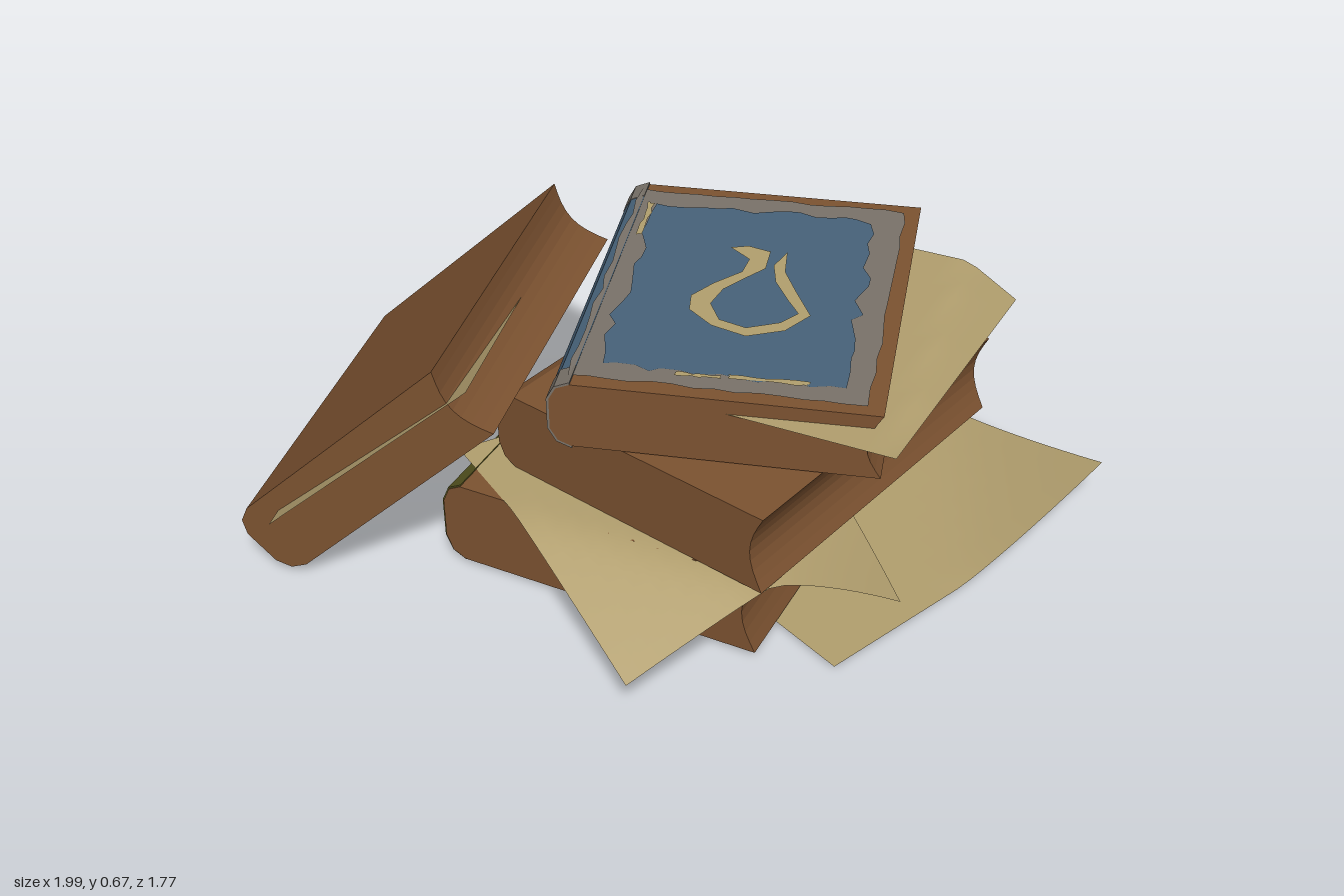
import * as THREE from 'three';

const mat = (name, color, side = THREE.FrontSide) => {
  const m = new THREE.MeshStandardMaterial({ color, side });
  m.name = name;
  return m;
};

export function createModel() {
  const root = new THREE.Group();
  root.name = 'bookPile';
  const brown = mat('brown leather', 0x7d5331);
  const tan = mat('old paper', 0xb3a06f, THREE.DoubleSide);
  const blue = mat('blue cover', 0x48637a);
  const grey = mat('worn grey', 0x7a736a);
  const green = mat('green cover', 0x54521f);
  const red = mat('spine red', 0x7a3a28);

  let seed = 7;
  const rand = () => (seed = (seed * 16807) % 2147483647) / 2147483647;

  function add(parent, name, geometry, material, x = 0, y = 0, z = 0) {
    const m = new THREE.Mesh(geometry, material);
    m.name = name;
    m.position.set(x, y, z);
    parent.add(m);
    return m;
  }

  const polygon = pts => new THREE.Shape(pts.map(p => new THREE.Vector2(p[0], p[1])));

  function prism(pts, length) {
    const g = new THREE.ExtrudeGeometry(polygon(pts), { depth: length, bevelEnabled: false });
    return g.translate(0, 0, -length / 2);
  }

  // Rounded spine section, from bottom to top
  const spinePoints = (w, h, c, out = 0) => [
    [c - w / 2, -out], [c * 0.35 - w / 2 - out * 0.7, h * 0.08 - out * 0.7],
    [-w / 2 - out, h * 0.26], [-w / 2 - out, h * 0.74],
    [c * 0.35 - w / 2 - out * 0.7, h * 0.92 + out * 0.7], [c - w / 2, h + out],
  ];

  // Book with spine at -x and a hollow fore edge at +x
  function book(name, w, h, l, c = 0.05, hollow = 0.035) {
    const g = new THREE.Group();
    g.name = name;
    const fore = [];
    for (let i = 0; i <= 8; i++) {
      const t = i / 8;
      fore.push([w / 2 - hollow * Math.sin(Math.PI * t), h * t]);
    }
    add(g, 'bookBody', prism([...spinePoints(w, h, c).reverse(), ...fore], l), brown);
    root.add(g);
    return g;
  }

  // Thin shell wrapped around a spine
  function spineShell(g, name, w, h, c, z0, z1, material, out) {
    const pts = [...spinePoints(w, h, c, out).reverse(), ...spinePoints(w, h, c, 0)];
    add(g, name, prism(pts, z1 - z0), material, 0, 0, (z0 + z1) / 2);
  }

  // Rectangle with worn, uneven edges
  function ragged(x0, x1, z0, z1, rough, n = 14) {
    const c = [[x0, z0], [x1, z0], [x1, z1], [x0, z1]];
    const pts = [];
    c.forEach((a, k) => {
      const b = c[(k + 1) % 4];
      for (let i = 0; i < n; i++) {
        const t = i / n;
        pts.push([a[0] + (b[0] - a[0]) * t + (rand() - 0.5) * rough,
          a[1] + (b[1] - a[1]) * t + (rand() - 0.5) * rough]);
      }
    });
    return new THREE.ShapeGeometry(polygon(pts));
  }
  const faceUp = g => g.rotateX(-Math.PI / 2);
  const faceDown = g => g.rotateX(Math.PI / 2);

  // Sheet spanned by four corners [x, y, z]; curls lift or drop corners
  function sheet(name, [a, b, c, d], curls = []) {
    const g = new THREE.PlaneGeometry(1, 1, 18, 18);
    const p = g.attributes.position;
    for (let i = 0; i < p.count; i++) {
      const u = p.getX(i) + 0.5, v = p.getY(i) + 0.5;
      const q = [0, 1, 2].map(k =>
        (a[k] * (1 - u) + b[k] * u) * (1 - v) + (d[k] * (1 - u) + c[k] * u) * v);
      for (const [cu, cv, lift, ru, rv, power] of curls) {
        const t = Math.abs(u - cu) / ru + Math.abs(v - cv) / rv;
        q[1] += lift * Math.max(0, 1 - t) ** power;
      }
      p.setXYZ(i, ...q);
    }
    g.computeVertexNormals();
    add(root, name, g, tan);
  }

  // Bottom book: green spine, papered underside with a green panel
  const bottom = book('bottomBook', 0.83, 0.222, 0.965);
  bottom.position.set(-0.01, 0.012, 0.06);
  bottom.rotation.y = -0.14;
  spineShell(bottom, 'greenSpine', 0.83, 0.222, 0.05, -0.48, 0.48, green, 0.004);
  [-0.08, 0, 0.08].forEach((z, i) =>
    add(bottom, 'spineMark', new THREE.BoxGeometry(0.004, 0.1, 0.035), i === 1 ? red : tan, -0.42, 0.11, z));
  add(bottom, 'undersideBorder', faceDown(ragged(-0.36, 0.41, -0.475, 0.475, 0.005)), tan, 0, -0.003, 0);
  const panel = new THREE.Group();
  panel.name = 'undersidePanel';
  panel.position.set(-0.02, 0, 0.09);
  panel.rotation.y = -0.24;
  root.add(panel);
  add(panel, 'greenPanel', faceDown(ragged(-0.25, 0.25, -0.3, 0.3, 0.02)), green, 0, 0.004, 0);
  const petals = [];
  for (let i = 0; i < 48; i++) {
    const t = (i / 48) * Math.PI * 2, r = 0.115 + 0.035 * Math.cos(6 * t) + 0.012 * Math.cos(t);
    petals.push([r * Math.cos(t), r * Math.sin(t)]);
  }
  add(panel, 'flowerEmblem', faceDown(new THREE.ShapeGeometry(polygon(petals))), tan, 0, 0.002, 0);

  // Middle book: plain brown with two pale spine bands
  const middle = book('middleBook', 0.8, 0.208, 0.92);
  middle.position.set(0.15, 0.237, 0.07);
  middle.rotation.y = -0.365;
  for (const z of [-0.2, 0.2])
    add(middle, 'spineBand', new THREE.BoxGeometry(0.004, 0.08, 0.02), tan, -0.4, 0.104, z);

  // Top book: blue covers with worn borders
  const top = book('topBook', 0.757, 0.17, 0.93);
  top.position.set(0.13, 0.448, 0.013);
  top.rotation.y = 0.137;
  spineShell(top, 'blueSpine', 0.757, 0.17, 0.05, -0.46, 0.46, blue, 0.004);
  for (const s of [-1, 1])
    spineShell(top, 'spineWear', 0.757, 0.17, 0.05, s * 0.43 - 0.035, s * 0.43 + 0.035, grey, 0.006);
  add(top, 'wornBorder', faceUp(ragged(-0.345, 0.34, -0.43, 0.43, 0.012)), grey, 0, 0.173, 0);
  add(top, 'bluePanel', faceUp(ragged(-0.285, 0.275, -0.375, 0.365, 0.03)), blue, 0, 0.175, 0);
  add(top, 'undersideWear', faceDown(ragged(-0.33, 0.34, -0.43, 0.43, 0.012)), grey, 0, -0.002, 0);
  add(top, 'undersideBlue', faceDown(ragged(-0.28, 0.28, -0.37, 0.37, 0.03)), blue, 0, -0.004, 0);
  for (const [x, z, len] of [[0.02, -0.385, 0.18], [-0.1, -0.395, 0.1]])
    add(top, 'paleScuff', faceUp(ragged(x, x + len, z, z + 0.014, 0.008, 6)), tan, 0, 0.177, 0);
  add(top, 'paleScuff', faceUp(ragged(-0.31, -0.295, 0.2, 0.36, 0.008, 6)), tan, 0, 0.177, 0);

  // Open loop emblem on the top cover, drawn as [x, z]
  const loop = [
    [0.04, -0.15], [0.08, -0.17], [0.14, -0.16], [0.15, -0.08], [0.12, -0.03], [0.08, 0.04],
    [0.07, 0.11], [0.11, 0.17], [0.18, 0.185], [0.25, 0.14], [0.28, 0.09], [0.24, 0.04],
    [0.19, -0.03], [0.165, -0.1], [0.18, -0.17], [0.2, -0.08], [0.25, 0], [0.31, 0.09],
    [0.27, 0.17], [0.19, 0.22], [0.1, 0.2], [0.03, 0.15], [0.015, 0.09], [0.05, 0.02],
    [0.1, -0.05], [0.1, -0.11],
  ];
  add(root, 'loopEmblem', faceUp(new THREE.ShapeGeometry(polygon(loop.map(([x, z]) => [x, -z])))), tan, 0, 0.626, 0);

  // Book leaning against the pile, resting on its spine
  const leaning = book('leaningBook', 0.765, 0.2, 0.88, 0.06, 0.035);
  leaning.children.forEach(m => { m.position.y -= 0.1; });
  leaning.position.set(-0.645, 0.332, 0.205);
  leaning.rotation.set(0, 0.055, 0.762);

  // Loose sheets
  sheet('groundSheet', [[-0.53, 0.008, -0.09], [0.52, 0.008, 0.58], [1, 0.008, -0.22], [-0.05, 0.008, -0.89]],
    [[1, 1, 0.125, 0.45, 0.55, 1.3]]);
  sheet('hangingSheet', [[0.12, 0.236, 0.88], [0.62, 0.236, 0.35], [0.02, 0.236, -0.18], [-0.5, 0.236, 0.35]],
    [[0, 0, -0.135, 0.52, 0.65, 1.1], [1, 0, -0.195, 0.5, 0.5, 1.3]]);
  sheet('topSheet', [[-0.02, 0.58, 0.44], [0.62, 0.585, 0.52], [0.73, 0.585, -0.32], [0.09, 0.58, -0.4]],
    [[1, 1, -0.08, 0.2, 1, 1]]);
  sheet('tuckedSheet', [[-0.83, 0.2, 0.72], [-0.33, 0.635, 0.64], [-0.44, 0.54, -0.15], [-0.94, 0.11, -0.07]]);

  return root;
}
